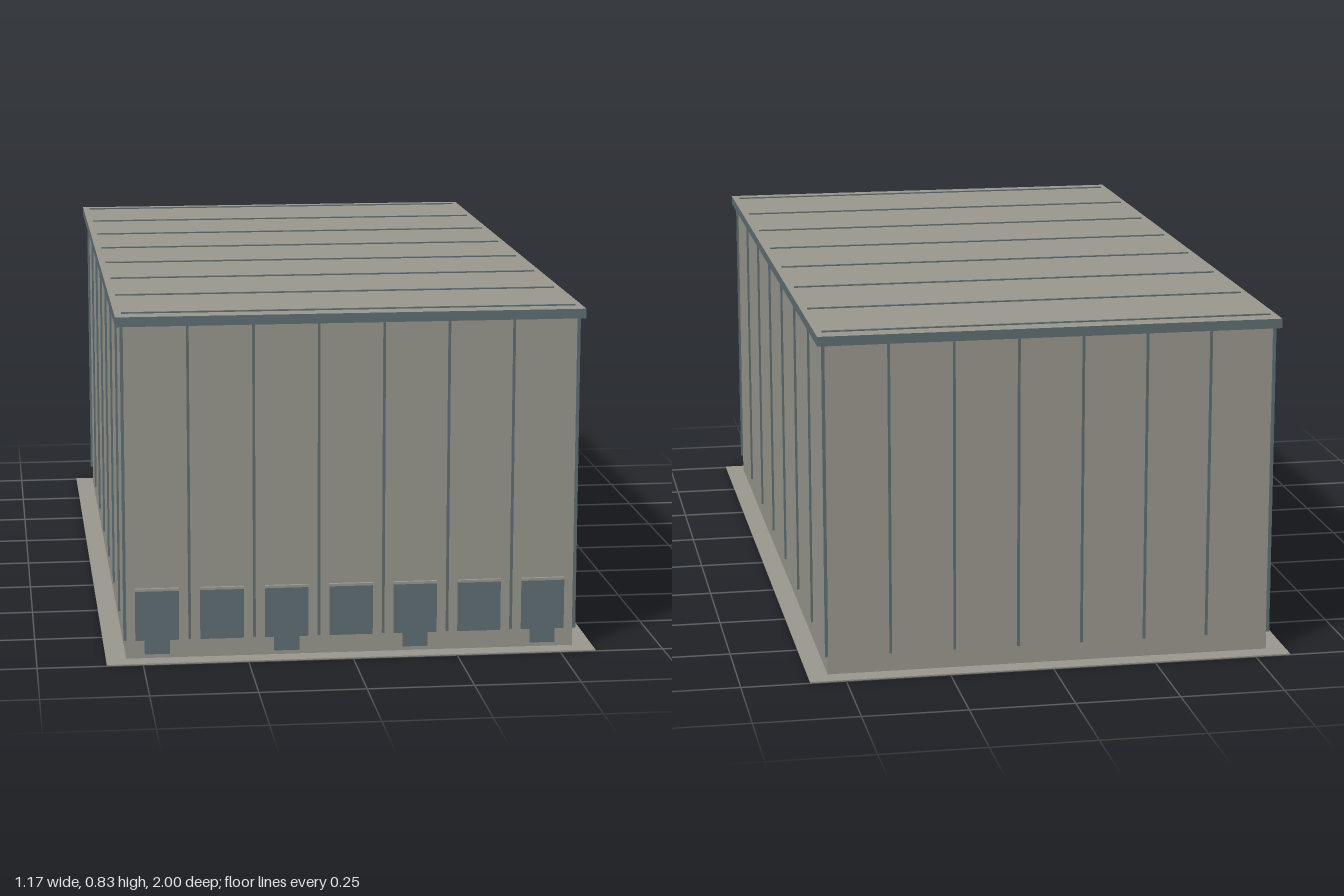
import * as THREE from 'three';

export function createModel() {
  const root = new THREE.Group();
  root.name = 'industrialHall';

  const paint = (name, color) => {
    const m = new THREE.MeshStandardMaterial({ color });
    m.name = name;
    return m;
  };
  const concrete = paint('concrete', 0x9b998f);
  const slate = paint('slate', 0x607074);
  const brown = paint('brownFloor', 0x6b5040);

  const add = (name, geometry, material, parent = root) => {
    const mesh = new THREE.Mesh(geometry, material);
    mesh.name = name;
    parent.add(mesh);
    return mesh;
  };
  // Box given by its centre in x and z and its bottom and top in y
  const block = (name, w, d, y0, y1, x, z, material, parent) => {
    const mesh = add(name, new THREE.BoxGeometry(w, y1 - y0, d), material, parent);
    mesh.position.set(x, (y0 + y1) / 2, z);
    return mesh;
  };
  const group = (name) => {
    const g = new THREE.Group();
    g.name = name;
    root.add(g);
    return g;
  };
  // Rectangular ring standing on y = 0, given by half sizes
  const ring = (ox, oz, ix, iz, height) => {
    const rect = (target, x, z) => {
      target.moveTo(-x, -z);
      target.lineTo(x, -z);
      target.lineTo(x, z);
      target.lineTo(-x, z);
      target.closePath();
      return target;
    };
    const shape = rect(new THREE.Shape(), ox, oz);
    shape.holes.push(rect(new THREE.Path(), ix, iz));
    const g = new THREE.ExtrudeGeometry(shape, { depth: height, bevelEnabled: false });
    return g.rotateX(-Math.PI / 2);
  };

  const HX = 0.538, HZ = 0.952, BAYS = 7;

  // Ground apron, hollow walls and floor
  add('groundApron', ring(0.586, 1, 0.534, 0.948, 0.003), concrete);
  add('walls', ring(HX, HZ, HX - 0.006, HZ - 0.006, 0.806), concrete);
  block('floor', 1.02, 1.85, 0.008, 0.04, 0, 0, brown);

  // Roof slab with a slate edge and a pale top
  block('roof', 1.11, 1.938, 0.805, 0.828, 0, 0,
    [slate, slate, concrete, slate, slate, slate]);

  // Raised seams across the roof
  const seams = group('roofSeams');
  for (let i = 0; i <= BAYS; i++) {
    block('roofSeam', 1.076, 0.006, 0.827, 0.831, 0, -0.92 + (i * 1.837) / BAYS, slate, seams);
  }

  // Vertical strips between wall bays
  const strips = group('wallStrips');
  for (const side of [-1, 1]) {
    for (let i = 1; i < BAYS; i++) {
      const t = (2 * i) / BAYS - 1;
      block('endWallStrip', 0.006, 0.008, 0.048, 0.806, 0.541 * t, side * 0.953, slate, strips);
      block('sideWallStrip', 0.008, 0.006, 0.048, 0.806, side * 0.539, 0.955 * t, slate, strips);
    }
    for (const end of [-1, 1]) {
      block('cornerStrip', 0.007, 0.007, 0.048, 0.806, side * 0.5405, end * 0.9545, slate, strips);
    }
  }

  // Loading doors on the front; every second one has a dock plate below
  const doors = group('loadingDoors');
  for (let i = 0; i < BAYS; i++) {
    const x = (i - 3) * (1.082 / BAYS);
    block('door', 0.104, 0.006, 0.047, 0.168, x, HZ + 0.001, slate, doors);
    block('doorHood', 0.104, 0.012, 0.168, 0.174, x, HZ + 0.002, concrete, doors);
    if (i % 2 === 0) {
      block('dockPlate', 0.06, 0.006, 0.013, 0.047, x, HZ + 0.001, slate, doors);
    }
  }

  return root;
}
